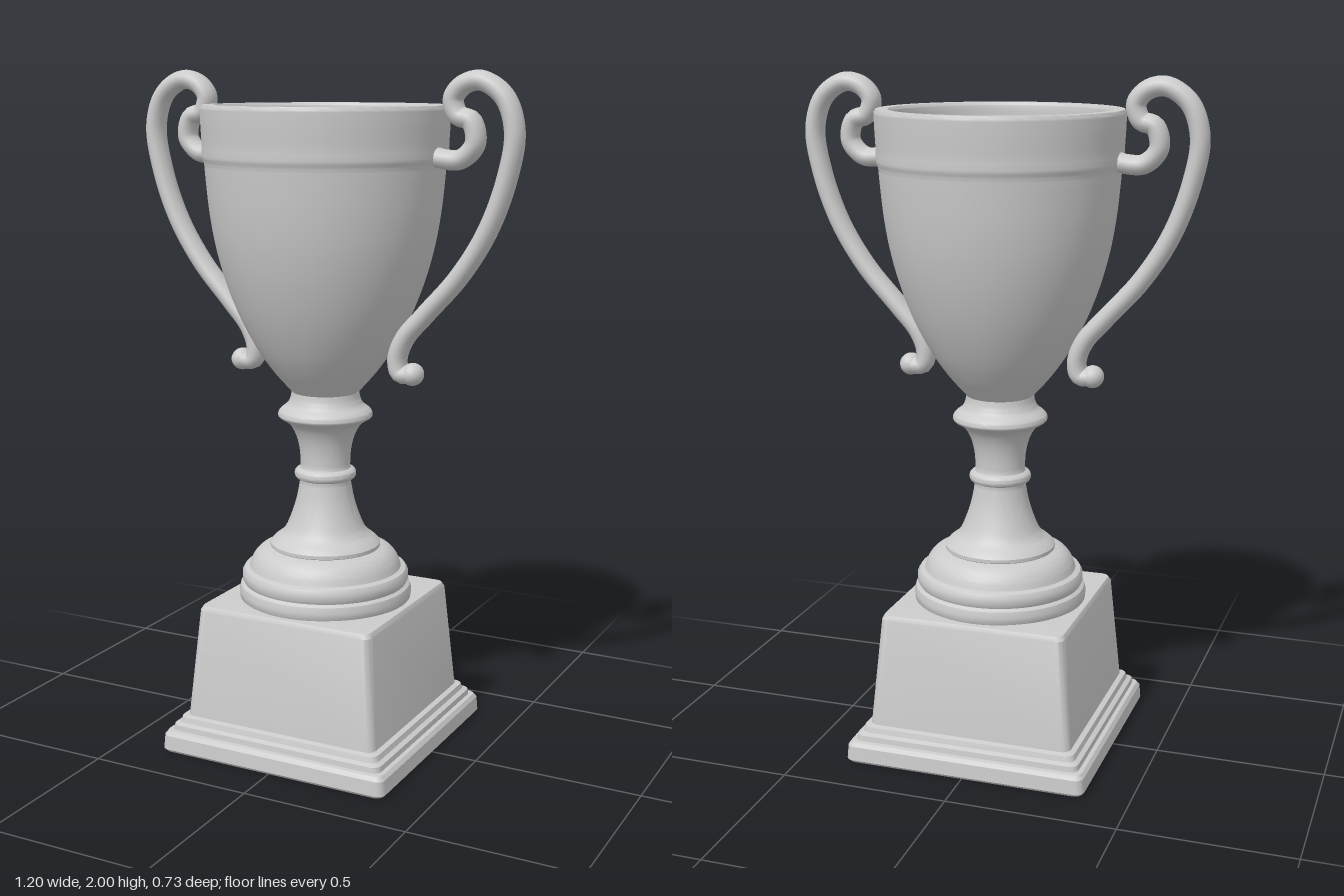
import * as THREE from 'three';
import { toCreasedNormals } from 'three/addons/utils/BufferGeometryUtils.js';

const material = new THREE.MeshStandardMaterial({ color: 0xcccccc });

function part(name, geometry) {
  const mesh = new THREE.Mesh(geometry, material);
  mesh.name = name;
  return mesh;
}

const vectors = (pairs) => pairs.map(([x, y]) => new THREE.Vector2(x, y));
const smooth = (pairs, n) => new THREE.SplineCurve(vectors(pairs)).getPoints(n);
const turned = (points, segments = 64) =>
  toCreasedNormals(new THREE.LatheGeometry(points, segments), 0.6);

// Sweeps a half-width profile around a square with rounded corners
function squareTurned(pairs, cornerRadius) {
  const perCorner = 5, segments = perCorner * 4;
  const geo = new THREE.LatheGeometry(vectors(pairs), segments);
  const pos = geo.attributes.position;
  for (let i = 0; i < pos.count; i++) {
    const [half, y] = pairs[i % pairs.length];
    const step = Math.floor(i / pairs.length) % segments;
    const corner = Math.floor(step / perCorner);
    const a = (corner + (step % perCorner) / (perCorner - 1)) * Math.PI / 2;
    const mid = (corner + 0.5) * Math.PI / 2;
    const r = Math.min(cornerRadius, half);
    pos.setXYZ(i,
      Math.sign(Math.sin(mid)) * (half - r) + r * Math.sin(a), y,
      Math.sign(Math.cos(mid)) * (half - r) + r * Math.cos(a));
  }
  return toCreasedNormals(geo, 0.5);
}

function makeHandle(name) {
  const handle = new THREE.Group();
  handle.name = name;
  // Scroll at the rim, long sweep down, small curl at the foot
  const path = new THREE.CatmullRomCurve3([
    [0.33, 1.765], [0.37, 1.755], [0.42, 1.757], [0.46, 1.8], [0.447, 1.86], [0.408, 1.875],
    [0.393, 1.92], [0.423, 1.957], [0.476, 1.968], [0.542, 1.925], [0.573, 1.835],
    [0.555, 1.71], [0.5, 1.56], [0.418, 1.43], [0.315, 1.315], [0.255, 1.245],
    [0.233, 1.185], [0.243, 1.145], [0.278, 1.143],
  ].map(([x, y]) => new THREE.Vector3(x, y, 0)));
  const tube = new THREE.TubeGeometry(path, 160, 0.028, 16);
  tube.scale(1, 1, 1.33);
  handle.add(part('handleScroll', tube));
  const tip = part('handleTip', new THREE.SphereGeometry(0.033, 20, 14));
  tip.position.set(0.281, 1.144, 0);
  tip.scale.z = 1.15;
  handle.add(tip);
  return handle;
}

export function createModel() {
  const trophy = new THREE.Group();
  trophy.name = 'trophy';

  // Hollow tapered plinth with stepped foot moulding
  trophy.add(part('plinth', squareTurned([
    [0, 0.41], [0.25, 0.41], [0.285, 0.07], [0.31, 0.03], [0.325, 0],
    [0.36, 0], [0.366, 0.008], [0.363, 0.05], [0.355, 0.062], [0.343, 0.064],
    [0.341, 0.08], [0.328, 0.086], [0.324, 0.102], [0.309, 0.106],
    [0.281, 0.43], [0.274, 0.443], [0.23, 0.445], [0, 0.445],
  ], 0.025)));

  // Round stepped dome on the plinth
  trophy.add(part('domeFoot', turned([
    ...vectors([[0.25, 0.435], [0.258, 0.445], [0.26, 0.465], [0.255, 0.483], [0.245, 0.49],
      [0.25, 0.5], [0.25, 0.52], [0.243, 0.532], [0.228, 0.537]]),
    ...smooth([[0.227, 0.54], [0.217, 0.565], [0.198, 0.587], [0.175, 0.598]], 10),
    ...vectors([[0, 0.6]]),
  ])));

  // Stem with middle ring and upper collar
  trophy.add(part('stem', turned([
    ...vectors([[0.155, 0.59], [0.165, 0.6], [0.165, 0.61], [0.156, 0.62]]),
    ...smooth([[0.15, 0.625], [0.122, 0.65], [0.1, 0.7], [0.085, 0.75], [0.076, 0.8]], 16),
    ...smooth([[0.077, 0.805], [0.088, 0.81], [0.092, 0.822], [0.088, 0.834], [0.076, 0.84]], 10),
    ...smooth([[0.074, 0.845], [0.076, 0.89], [0.086, 0.935], [0.104, 0.97], [0.122, 0.985]], 12),
    ...smooth([[0.125, 0.987], [0.138, 0.995], [0.14, 1.006], [0.132, 1.018],
      [0.114, 1.032], [0.104, 1.05], [0.1, 1.07]], 16),
    ...vectors([[0, 1.075]]),
  ])));

  // Cup: outer wall with a faint band, rim and hollow inside
  trophy.add(part('cup', turned([
    ...smooth([[0.085, 1.055], [0.112, 1.085], [0.155, 1.135], [0.203, 1.205], [0.252, 1.3],
      [0.29, 1.4], [0.317, 1.5], [0.334, 1.6], [0.344, 1.7], [0.347, 1.735],
      [0.353, 1.755], [0.353, 1.79], [0.356, 1.85], [0.357, 1.892]], 60),
    ...vectors([[0.352, 1.9], [0.318, 1.9], [0.312, 1.893]]),
    ...smooth([[0.311, 1.89], [0.306, 1.75], [0.292, 1.6], [0.255, 1.42], [0.2, 1.28],
      [0.13, 1.18], [0.06, 1.135], [0, 1.125]], 40),
  ], 96)));

  const left = makeHandle('leftHandle');
  const right = makeHandle('rightHandle');
  right.rotation.y = Math.PI;
  trophy.add(left, right);
  return trophy;
}
